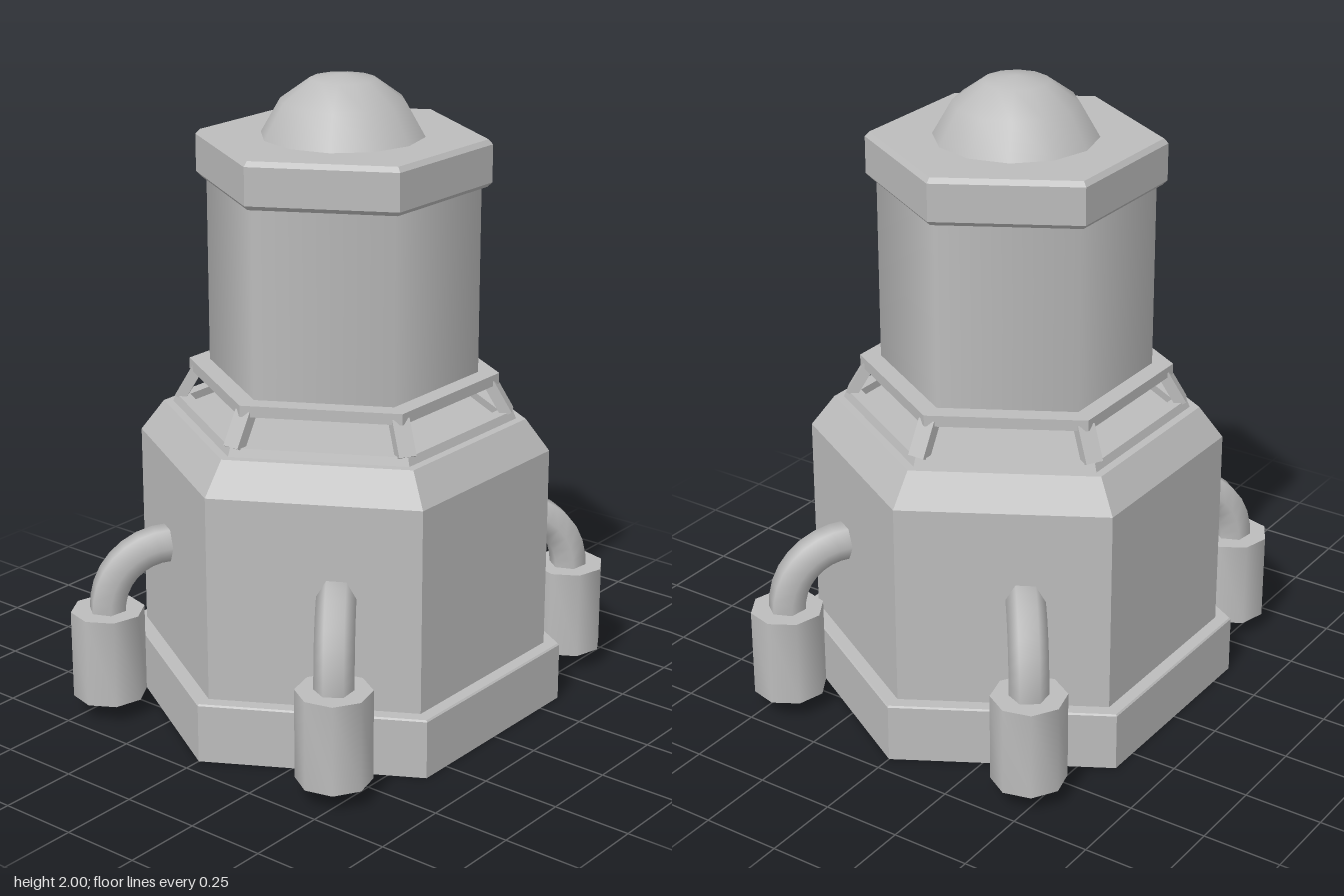
import * as THREE from 'three';
import { toCreasedNormals } from 'three/addons/utils/BufferGeometryUtils.js';

const grey = new THREE.MeshStandardMaterial({ color: 0xbcbcbc, side: THREE.DoubleSide });
grey.name = 'grey metal';

export function createModel() {
  const model = new THREE.Group();
  model.name = 'tower';

  const add = (parent, name, geometry) => {
    const mesh = new THREE.Mesh(geometry, grey);
    mesh.name = name;
    parent.add(mesh);
    return mesh;
  };
  // Turned profile of [radius, y] points; edges sharper than the crease stay hard
  const turned = (profile, sides, crease) => toCreasedNormals(
    new THREE.LatheGeometry(profile.map(([r, y]) => new THREE.Vector2(r, y)), sides, Math.PI / 2), crease);
  const hex = (profile) => turned(profile, 6, 0.3);

  // Hollow lower shell, open underneath
  add(model, 'base', hex([[0.695, 0], [0.695, 0.185], [0.69, 0.19], [0.645, 0.19]]));
  add(model, 'body', hex([[0.645, 0.19], [0.645, 0.84], [0.57, 0.94], [0, 0.94]]));

  // Open window band: two rings joined by leaning corner posts
  add(model, 'windowSill', hex([[0.485, 0.94], [0.54, 0.94], [0.53, 0.965], [0.485, 0.965], [0.485, 0.94]]));
  add(model, 'windowHeader', hex([[0.4, 1.05], [0.485, 1.05], [0.485, 1.085], [0.4, 1.085], [0.4, 1.05]]));
  for (let i = 0; i < 6; i++) {
    const corner = new THREE.Group();
    corner.name = 'windowPostCorner';
    corner.rotation.y = i * Math.PI / 3;
    const post = add(corner, 'windowPost', new THREE.BoxGeometry(0.035, 0.115, 0.055));
    post.position.set(0.485, 1.008, 0);
    post.rotation.z = 0.52;
    model.add(corner);
  }

  // Upper tower with softly shaded sides, bevelled cap and dome
  add(model, 'upperTower', new THREE.CylinderGeometry(0.42, 0.42, 0.6, 6, 1, false, Math.PI / 2))
    .position.y = 1.375;
  add(model, 'cap', hex([[0, 1.67], [0.438, 1.67], [0.452, 1.684], [0.452, 1.80], [0.438, 1.815], [0, 1.815]]));
  add(model, 'dome', turned([[0.25, 1.815], [0.19, 1.92], [0.1, 1.985], [0, 2]], 12, 1));

  // Four bent pipes, each ending in a canister
  const elbow = new THREE.CurvePath();
  elbow.add(new THREE.QuadraticBezierCurve3(
    new THREE.Vector3(0.555, 0.55, 0), new THREE.Vector3(0.64, 0.55, 0), new THREE.Vector3(0.7, 0.49, 0)));
  elbow.add(new THREE.QuadraticBezierCurve3(
    new THREE.Vector3(0.7, 0.49, 0), new THREE.Vector3(0.757, 0.433, 0), new THREE.Vector3(0.757, 0.335, 0)));
  const pipe = new THREE.TubeGeometry(elbow, 8, 0.06, 6, false);
  const canister = turned([[0, 0.06], [0.116, 0.06], [0.116, 0.345], [0, 0.345]], 8, 0.9);
  canister.translate(0.757, 0, 0);
  const spread = Math.atan2(0.455, 0.605);
  for (const angle of [spread, -spread, Math.PI - spread, Math.PI + spread]) {
    const arm = new THREE.Group();
    arm.name = 'pipeArm';
    arm.rotation.y = angle;
    add(arm, 'pipe', pipe);
    add(arm, 'canister', canister);
    model.add(arm);
  }

  return model;
}
